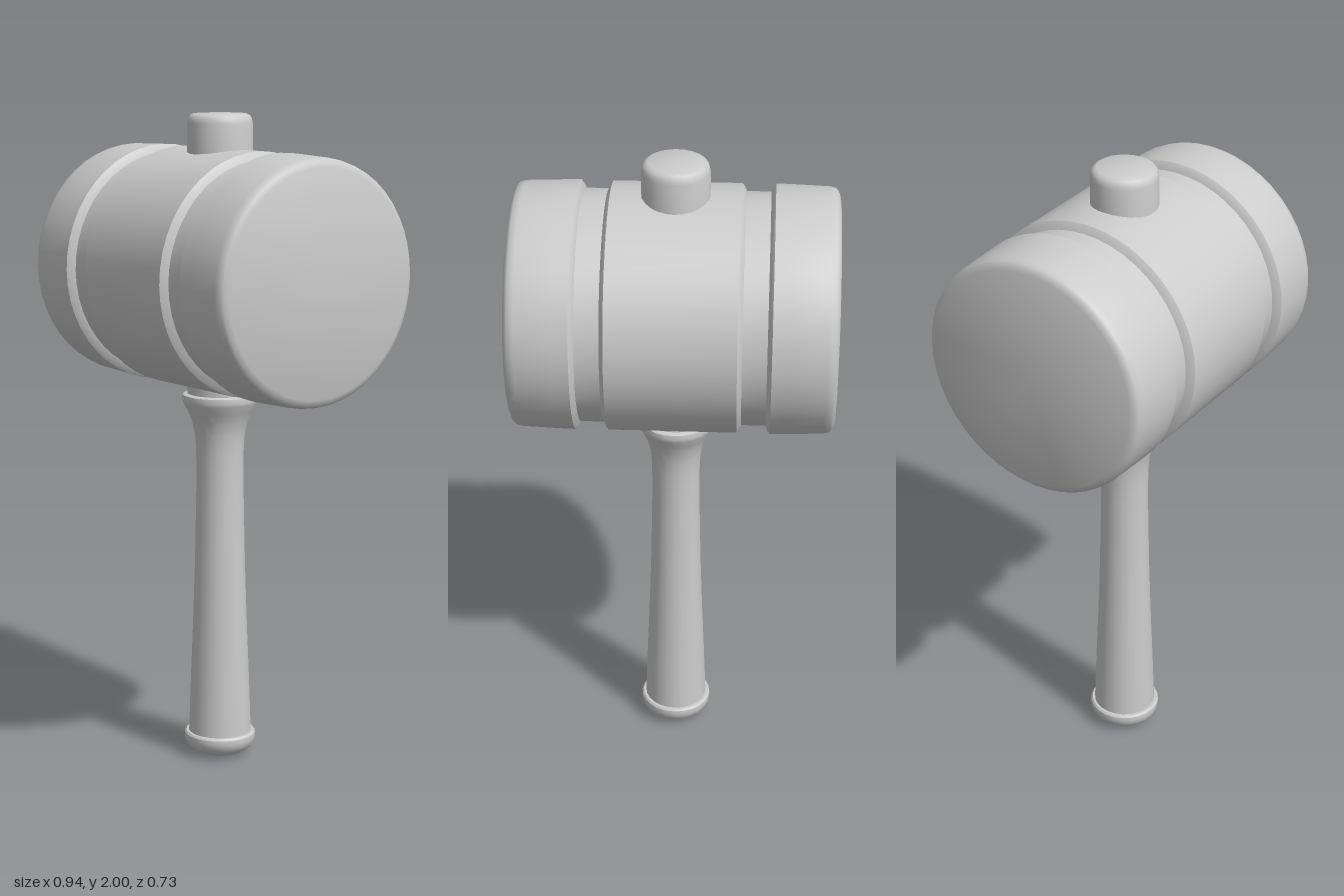
import * as THREE from 'three';
import { toCreasedNormals } from 'three/addons/utils/BufferGeometryUtils.js';

const material = new THREE.MeshStandardMaterial({ color: 0xcccccc });

// Turned part from [radius, height] pairs listed bottom to top
function turned(name, profile, segments, crease = 0.6) {
  const points = profile.map(([r, y]) => new THREE.Vector2(r, y));
  const geometry = toCreasedNormals(new THREE.LatheGeometry(points, segments), crease);
  const mesh = new THREE.Mesh(geometry, material);
  mesh.name = name;
  return mesh;
}

export function createModel() {
  const model = new THREE.Group();
  model.name = 'mallet';

  // Barrel head lying along x: half profile [radius, distance from middle], mirrored
  const half = [
    [0.366, 0.188], [0.358, 0.194], [0.343, 0.201], [0.343, 0.272],
    [0.358, 0.278], [0.367, 0.285], [0.366, 0.33], [0.362, 0.44],
    [0.358, 0.458], [0.35, 0.466], [0.335, 0.472], [0, 0.472],
  ];
  const mirrored = half.map(([r, d]) => [r, -d]).reverse();
  const head = turned('head', [...mirrored, ...half], 48);
  head.rotation.z = -Math.PI / 2;
  head.position.y = 1.53;
  model.add(head);

  // Tapered grip flaring into a collar under the head
  model.add(turned('handle', [
    [0.099, 0.05], [0.098, 0.08], [0.092, 0.25], [0.085, 0.42], [0.079, 0.6],
    [0.075, 0.78], [0.073, 0.9], [0.074, 0.98], [0.078, 1.03], [0.087, 1.07],
    [0.1, 1.1], [0.113, 1.125], [0.116, 1.135], [0.114, 1.15], [0.1, 1.154], [0.1, 1.25],
  ], 24));

  // Rounded pommel at the foot
  model.add(turned('pommel', [
    [0, 0], [0.06, 0.003], [0.078, 0.01], [0.098, 0.025], [0.108, 0.038],
    [0.112, 0.055], [0.111, 0.068], [0.106, 0.074], [0.09, 0.074],
  ], 24));

  // Handle end standing out of the top of the head
  model.add(turned('handleEnd', [
    [0.099, 1.8], [0.099, 1.972], [0.096, 1.986], [0.09, 1.995], [0.08, 2], [0, 2],
  ], 24));

  return model;
}
